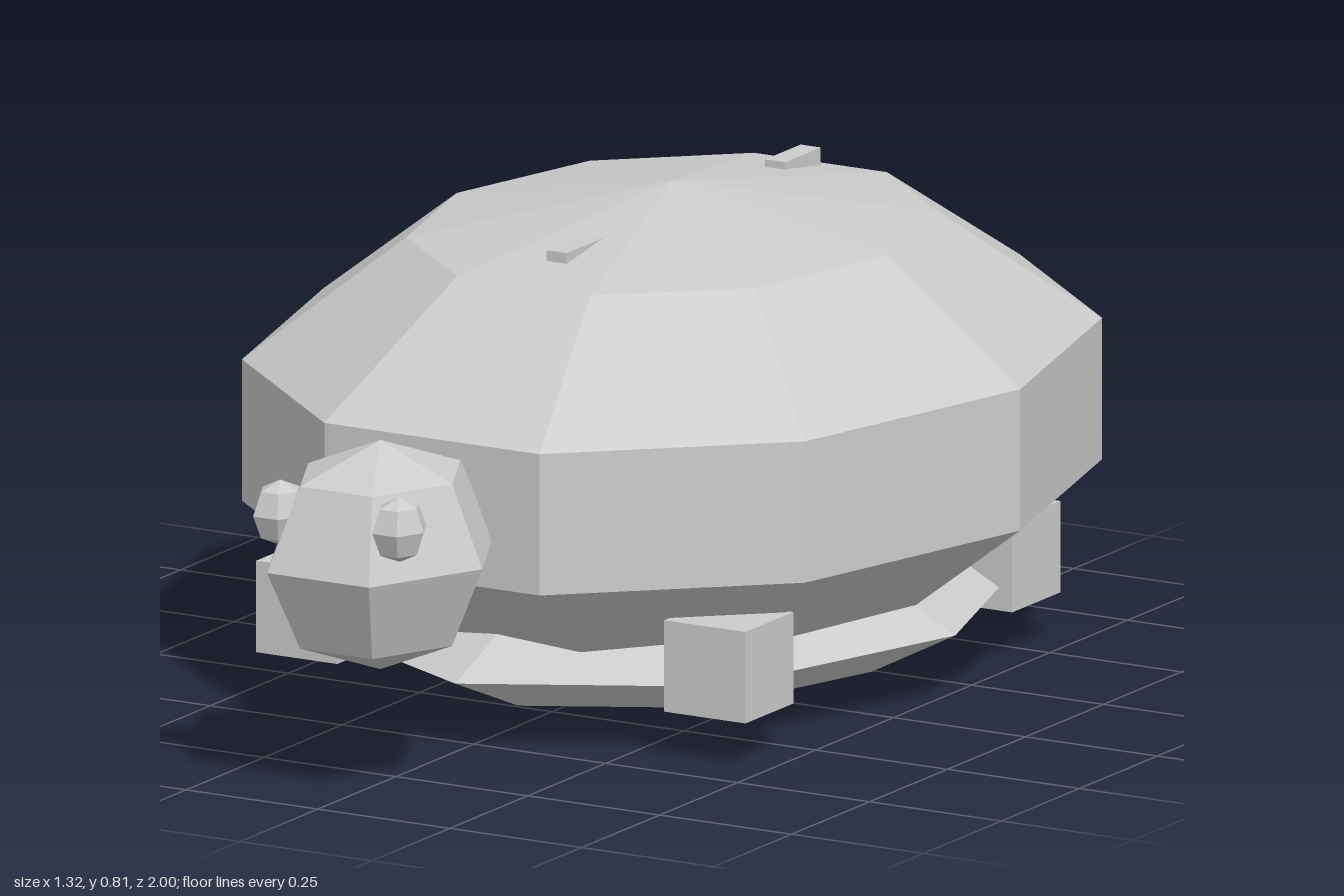
import * as THREE from 'three';

export function createModel() {
  const group = new THREE.Group();
  const material = new THREE.MeshStandardMaterial({ color: 0xcccccc, flatShading: true });

  function add(name, geometry, x, y, z) {
    const mesh = new THREE.Mesh(geometry, material);
    mesh.name = name;
    mesh.position.set(x, y, z);
    group.add(mesh);
  }

  // Low-poly ellipsoid with the given radii
  function ellipsoid(rx, ry, rz, segments, rings) {
    return new THREE.SphereGeometry(1, segments, rings).scale(rx, ry, rz);
  }

  // Body
  add('shell', ellipsoid(0.694, 0.385, 0.81, 10, 5).scale(1, 1, 0.851 / 0.81), 0, 0.43, -0.135);
  add('bellyPlate', ellipsoid(0.54, 0.115, 0.69, 8, 4), 0, 0.12, -0.13);

  // Head
  add('head', ellipsoid(0.193, 0.193, 0.231, 6, 4), 0, 0.39, 0.8);

  // Eyes and legs, mirrored
  for (const [side, s] of [['left', 1], ['right', -1]]) {
    add(side + 'Eye', ellipsoid(0.046, 0.055, 0.055, 6, 4), s * 0.113, 0.475, 0.93);
    add(side + 'FrontLeg', new THREE.BoxGeometry(0.154, 0.154, 0.154), s * 0.387, 0.158, 0.337);
    add(side + 'BackLeg', new THREE.BoxGeometry(0.154, 0.154, 0.154), s * 0.387, 0.158, -0.518);
  }

  // Tail: four-sided spike
  add('tail', new THREE.ConeGeometry(0.095, 0.19, 4), 0, 0.293, -0.905);

  // Small ridges on top of the shell
  add('frontRidge', new THREE.BoxGeometry(0.038, 0.038, 0.115), 0, 0.757, 0.177);
  add('backRidge', new THREE.BoxGeometry(0.038, 0.038, 0.115), 0, 0.757, -0.522);

  return group;
}
